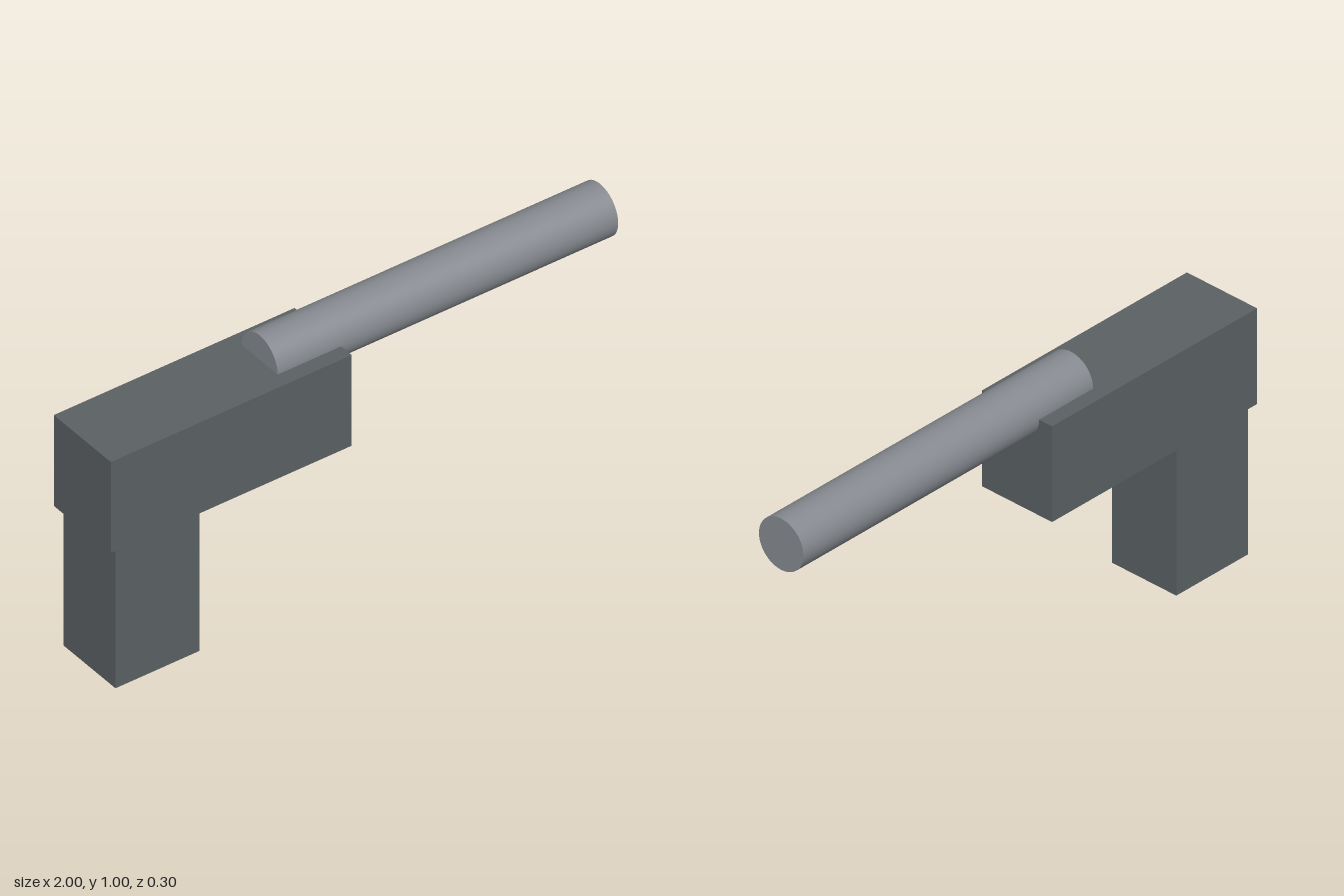
import * as THREE from 'three';

export function createModel() {
  const model = new THREE.Group();
  const darkGrey = new THREE.MeshStandardMaterial({ color: 0x5b6164 });
  darkGrey.name = 'darkGrey';
  const lightGrey = new THREE.MeshStandardMaterial({ color: 0x868a90 });
  lightGrey.name = 'lightGrey';

  const add = (name, geometry, material, x, y) => {
    const mesh = new THREE.Mesh(geometry, material);
    mesh.name = name;
    mesh.position.set(x, y, 0);
    model.add(mesh);
    return mesh;
  };

  // Upright block standing on the ground
  add('grip', new THREE.BoxGeometry(0.325, 0.55, 0.274), darkGrey, -0.81, 0.275);

  // Horizontal block on top of it
  add('body', new THREE.BoxGeometry(0.93, 0.355, 0.3), darkGrey, -0.535, 0.7275);

  // Smooth rod half sunk into the top of the body
  const barrel = add('barrel', new THREE.CylinderGeometry(0.095, 0.095, 1.315, 48), lightGrey, 0.3425, 0.905);
  barrel.rotation.z = -Math.PI / 2;

  return model;
}
